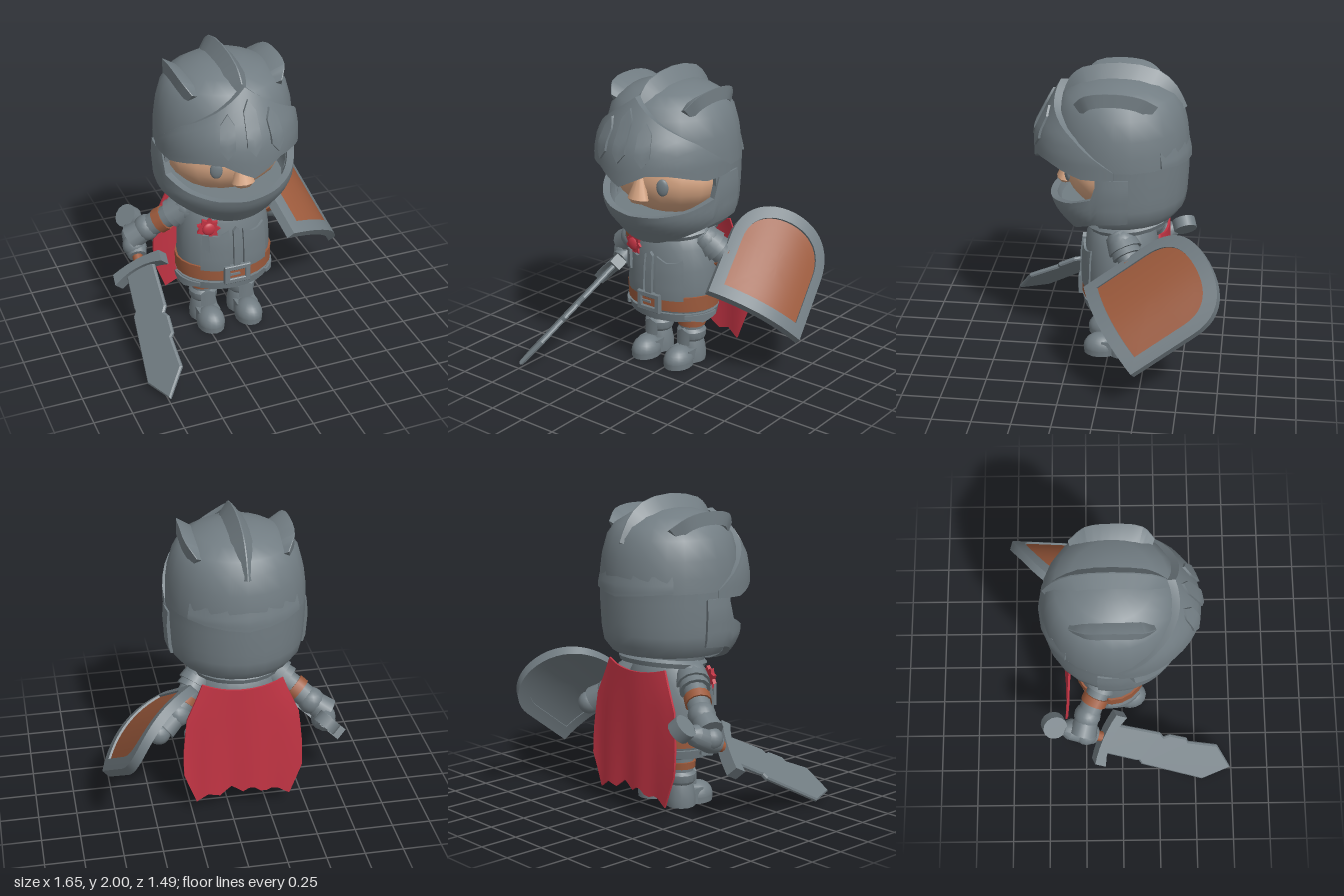
import * as THREE from 'three';
import { toCreasedNormals } from 'three/addons/utils/BufferGeometryUtils.js';

const paint = (name, color) => Object.assign(new THREE.MeshStandardMaterial({ color }), { name });
const V = (x, y, z) => new THREE.Vector3(x, y, z);

export function createModel() {
  const metal = paint('steel', 0x727d83), leather = paint('leather', 0x9c5a3c);
  const skin = paint('skin', 0xd6a583), red = paint('red cloth', 0xc33444);
  const root = new THREE.Group();
  const body = new THREE.Group();
  body.name = 'body';
  body.position.x = -0.085;
  root.add(body);

  const add = (parent, name, geo, mat, x = 0, y = 0, z = 0) => {
    const m = new THREE.Mesh(geo, mat);
    m.name = name;
    m.position.set(x, y, z);
    parent.add(m);
    return m;
  };
  // piecewise linear function through [key, value] pairs
  const table = pts => k => {
    if (k <= pts[0][0]) return pts[0][1];
    for (let i = 1; i < pts.length; i++) {
      const [k0, v0] = pts[i - 1], [k1, v1] = pts[i];
      if (k <= k1) return v0 + (v1 - v0) * (k - k0) / (k1 - k0);
    }
    return pts[pts.length - 1][1];
  };
  // box whose unit coordinates (0..1) are mapped by a rule
  const mapped = (sx, sy, sz, fn, crease = 0.6) => {
    const g = new THREE.BoxGeometry(1, 1, 1, sx, sy, sz), p = g.attributes.position;
    for (let i = 0; i < p.count; i++) p.setXYZ(i, ...fn(p.getX(i) + 0.5, p.getY(i) + 0.5, p.getZ(i) + 0.5));
    return toCreasedNormals(g, crease);
  };
  // curved plate wrapped round an upright axis; angles in degrees from the front
  const plate = (a0, a1, bot, top, rad, { rx = 1, rz = 1, z0 = 0, thick = 0.03, out = 0, sa = 20, sy = 6 } = {}) =>
    mapped(sa, sy, 1, (u, v, w) => {
      const a = a0 + (a1 - a0) * u, y = bot(a) + (top(a) - bot(a)) * v, t = out + (w - 1) * thick;
      const r = a * Math.PI / 180, s = rad(y);
      return [(rx * s + t) * Math.sin(r), y, z0 + (rz * s + t) * Math.cos(r)];
    });
  const lathe = (pts, seg = 20) =>
    toCreasedNormals(new THREE.LatheGeometry(pts.map(p => new THREE.Vector2(...p)), seg), 0.65);
  const tube = (parent, name, a, b, ra, rb, mat) => {
    const d = b.clone().sub(a);
    const m = add(parent, name, new THREE.CylinderGeometry(rb, ra, d.length(), 12), mat);
    m.position.copy(a).addScaledVector(d, 0.5);
    m.quaternion.setFromUnitVectors(V(0, 1, 0), d.normalize());
  };
  const ball = (parent, name, p, r, mat, sx = 1, sy = 1, sz = 1) => {
    const m = add(parent, name, new THREE.SphereGeometry(r, 16, 12), mat, p.x, p.y, p.z);
    m.scale.set(sx, sy, sz);
    return m;
  };
  const outline = pts => new THREE.Shape(pts.map(p => new THREE.Vector2(...p)));
  const slab = (shape, depth, bevel = 0) => new THREE.ExtrudeGeometry(shape, {
    depth, bevelEnabled: bevel > 0, bevelSize: bevel, bevelThickness: bevel, bevelSegments: 1 });

  // helmet
  add(body, 'helmetDome', lathe([[0, 1.43], [0.445, 1.43], [0.442, 1.52], [0.428, 1.63], [0.395, 1.75],
    [0.345, 1.82], [0.255, 1.875], [0.14, 1.91], [0, 1.925]], 24), metal, 0, 0, -0.06);
  add(body, 'helmetBack', plate(75, 285, () => 1.02, () => 1.432,
    table([[1.02, 0.37], [1.06, 0.415], [1.13, 0.432], [1.3, 0.442], [1.432, 0.445]]), { z0: -0.06, sa: 14 }), metal);
  add(body, 'helmetBackRim', plate(130, 230, a => 1.4 + 0.04 * Math.abs(a - 180) / 50, () => 1.54,
    table([[1.4, 0.458], [1.46, 0.456], [1.54, 0.438]]), { z0: -0.06, sa: 6 }), metal);
  add(body, 'helmetFloor', new THREE.CylinderGeometry(0.38, 0.37, 0.04, 24), metal, 0, 1.08, -0.06);
  const jawTop = table([[0, 1.125], [26, 1.14], [51, 1.18], [72, 1.245], [78, 1.39], [102, 1.39]]);
  const jawLow = table([[0, 0.91], [20, 0.92], [45, 0.97], [75, 1.07], [102, 1.09]]);
  add(body, 'jawGuard', plate(-102, 102, a => jawLow(Math.abs(a)), a => jawTop(Math.abs(a)),
    table([[0.91, 0.31], [1.05, 0.42], [1.12, 0.45], [1.3, 0.462], [1.4, 0.452]]), { z0: -0.06, sa: 34, thick: 0.045 }), metal);
  const visorTop = table([[0, 1.88], [31, 1.75], [64, 1.62], [95, 1.44]]);
  const visorLow = table([[0, 1.345], [24, 1.44], [42, 1.44], [71, 1.38], [95, 1.39]]);
  const visorRad = table([[1.5, 1], [1.6, 0.96], [1.76, 0.8], [1.88, 0.66]]);
  const visorFit = { rx: 0.452, rz: 0.51, z0: -0.02 };
  add(body, 'visor', plate(-95, 95, a => visorLow(Math.abs(a)), a => visorTop(Math.abs(a)), visorRad,
    { ...visorFit, sa: 24, thick: 0.05 }), metal);
  for (const [c, lo, hi] of [[0, 1.5, 1.82], [-21, 1.49, 1.75], [21, 1.49, 1.75]]) {
    const end = a => 0.06 * Math.abs(a - c) / 6;
    add(body, 'visorSlit', plate(c - 6, c + 6, a => lo + end(a), a => hi - end(a), visorRad,
      { ...visorFit, out: 0.015, thick: 0.03, sa: 2 }), metal);
  }
  // crests: wedges along a ridge line, sunk towards the middle of the head
  const crest = (name, pts, width, k) => {
    const curve = new THREE.CatmullRomCurve3(pts.map(p => V(...p))), mid = V(0, 1.5, -0.06);
    add(body, name, mapped(1, 1, 12, (u, v, t) => {
      const p = curve.getPoint(1 - t).lerp(mid, (1 - v) * k);
      return [p.x + (u - 0.5) * width * (1.04 - v), p.y, p.z];
    }), metal);
  };
  crest('centreCrest', [[0, 1.81, 0.31], [0, 1.9, 0.255], [0, 1.96, 0.18], [0, 2, -0.06], [0, 1.96, -0.3],
    [0, 1.86, -0.415], [0, 1.73, -0.48]], 0.2, 0.25);
  for (const s of [-1, 1])
    crest('sideCrest', [[s * 0.29, 1.82, 0.2], [s * 0.335, 1.89, 0.13], [s * 0.345, 1.915, -0.06],
      [s * 0.335, 1.89, -0.22], [s * 0.28, 1.82, -0.32]], 0.15, 0.2);

  // face
  ball(body, 'face', V(0, 1.32, -0.02), 1, skin, 0.385, 0.265, 0.31);
  const nose = add(body, 'nose', lathe([[0, -0.1], [0.045, -0.095], [0.075, -0.07], [0.025, 0.09], [0, 0.1]], 10), skin, 0, 1.28, 0.285);
  nose.scale.z = 0.75;
  nose.rotation.x = -0.18;
  for (const s of [-1, 1]) {
    const eye = ball(body, 'eye', V(s * 0.165, 1.31, 0.26), 1, metal, 0.04, 0.056, 0.018);
    eye.rotation.y = s * 0.35;
    const brow = add(body, 'brow', new THREE.BoxGeometry(0.16, 0.018, 0.03), skin, s * 0.185, 1.39, 0.235);
    brow.rotation.set(0, s * 0.4, s * 0.06);
  }

  // neck and torso
  const collar = add(body, 'collar', lathe([[0.2, -0.05], [0.27, -0.05], [0.285, -0.02], [0.265, 0], [0.275, 0.04], [0.2, 0.04]]),
    metal, 0, 0.975, -0.115);
  collar.rotation.x = 0.13;
  const fit = { rz: 0.8, z0: -0.07 };
  const trunk = [[0, 0.33], [0.24, 0.33], [0.28, 0.37], [0.305, 0.42], [0.315, 0.55], [0.308, 0.7], [0.285, 0.84], [0.24, 0.93], [0.15, 1.0], [0, 1.02]];
  add(body, 'torso', lathe(trunk, 24), metal, 0, 0, -0.07).scale.z = 0.8;
  const trunkRad = table(trunk.slice(1, 9).map(([r, y]) => [y, r]));
  const ring = (name, lo, hi, rl, rh, mat) => add(body, name,
    lathe([[0.2, lo], [rl, lo], [rh, hi], [0.2, hi]], 24), mat, 0, 0, -0.07).scale.z = 0.8;
  ring('belt', 0.425, 0.525, 0.325, 0.327, leather);
  ring('skirt', 0.35, 0.405, 0.31, 0.322, metal);
  for (const s of [-1, 1]) {
    const panelTop = table([[9, 0.79], [22, 0.755], [34, 0.76], [44, 0.78]]);
    const a0 = s < 0 ? -44 : 9, a1 = s < 0 ? -9 : 44;
    add(body, 'breastPanel', plate(a0, a1, () => 0.5, a => panelTop(Math.abs(a)), trunkRad, { ...fit, out: 0.014, sa: 8 }), metal);
    const tab = a => 0.345 + 0.03 * Math.abs(Math.abs(a) - 70) / 25;
    add(body, 'skirtTab', plate(s * 70 - 25, s * 70 + 25, tab, () => 0.4, () => 0.322, { ...fit, out: 0.012, sa: 6, sy: 1 }), metal);
  }
  add(body, 'breastRidge', plate(-4, 4, () => 0.5, a => 0.815 - Math.abs(a) * 0.006, trunkRad, { ...fit, out: 0.024, sa: 2 }), metal);

  // buckle
  const frame = outline([[-0.085, -0.06], [0.085, -0.06], [0.085, 0.06], [-0.085, 0.06]]);
  frame.holes.push(outline([[-0.058, -0.036], [-0.058, 0.036], [0.058, 0.036], [0.058, -0.036]]));
  add(body, 'buckle', slab(frame, 0.025, 0.005), metal, 0, 0.472, 0.18);
  add(body, 'bucklePlate', new THREE.BoxGeometry(0.12, 0.08, 0.02), leather, 0, 0.472, 0.185);
  add(body, 'bucklePin', new THREE.BoxGeometry(0.075, 0.014, 0.02), metal, -0.02, 0.472, 0.195);

  // rosette with a short ribbon
  const star = Array.from({ length: 18 }, (_, i) => {
    const a = i * Math.PI / 9, r = i % 2 ? 0.056 : 0.078;
    return [r * Math.cos(a), r * Math.sin(a)];
  });
  add(body, 'rosette', slab(outline(star), 0.025), red, -0.17, 0.815, 0.115).rotation.y = -0.25;
  ball(body, 'rosetteButton', V(-0.172, 0.815, 0.138), 0.045, red, 1, 1, 0.45);
  const ribbon = add(body, 'ribbon', slab(outline([[-0.02, 0.08], [0.02, 0.08], [0.03, -0.05], [0, -0.025], [-0.025, -0.06]]), 0.02),
    metal, -0.195, 0.7, 0.135);
  ribbon.rotation.y = -0.5;

  // cape
  const hem = table([[-1, 0.3], [-0.8, 0.085], [-0.55, 0.14], [-0.35, 0.11], [-0.15, 0.17], [0, 0.13], [0.2, 0.18],
    [0.4, 0.12], [0.6, 0.14], [0.8, 0.085], [1, 0.3]]);
  const capeWidth = table([[0.08, 0.385], [0.45, 0.39], [0.7, 0.365], [0.94, 0.26]]);
  add(body, 'cape', mapped(20, 8, 1, (u, v, w) => {
    const c = u * 2 - 1, y = hem(c) + (0.95 - 0.04 * (1 - c * c) - hem(c)) * v;
    const z = -0.385 + 0.04 * c * c * v + 0.006 * Math.sin(c * 9) * (1 - v);
    return [c * capeWidth(y), y, z + w * 0.014];
  }), red);

  // legs and boots
  for (const s of [-1, 1]) {
    const leg = new THREE.Group();
    leg.name = s < 0 ? 'rightLeg' : 'leftLeg';
    leg.position.set(s * 0.136, 0, -0.088);
    body.add(leg);
    add(leg, 'thigh', new THREE.CylinderGeometry(0.085, 0.08, 0.2, 14), metal, 0, 0.3, 0);
    add(leg, 'legStrap', new THREE.CylinderGeometry(0.098, 0.094, 0.045, 14), leather, 0, 0.28, 0);
    add(leg, 'greave', lathe([[0, 0], [0.095, 0], [0.098, 0.06], [0.085, 0.13], [0.08, 0.15], [0.095, 0.17], [0.098, 0.215], [0.082, 0.235], [0, 0.235]], 14), metal);
    add(leg, 'shinPlate', plate(-28, 28, () => 0.13, a => 0.245 - Math.abs(a) * 0.001, () => 0.095, { out: 0.012, sa: 4, sy: 1 }), metal);
    add(leg, 'toeCap', new THREE.SphereGeometry(1, 16, 8, 0, Math.PI * 2, 0, Math.PI / 2), metal, 0, 0.04, 0.143).scale.set(0.092, 0.095, 0.115);
    add(leg, 'sole', new THREE.CylinderGeometry(1, 0.97, 0.04, 16), metal, 0, 0.02, 0.143).scale.set(0.092, 1, 0.115);
    add(leg, 'instep', new THREE.BoxGeometry(0.15, 0.1, 0.14), metal, 0, 0.055, 0.06);
  }

  // arms: shoulder, elbow, wrist, hand
  const arm = (name, S, E, W, H) => {
    const g = new THREE.Group();
    g.name = name;
    root.add(g);
    const at = t => S.clone().lerp(E, t);
    ball(g, 'shoulder', S, 0.1, metal);
    tube(g, 'pauldron', at(-0.2), at(0.2), 0.09, 0.11, metal);
    tube(g, 'pauldronRim', at(0.15), at(0.35), 0.09, 0.1, metal);
    tube(g, 'upperArm', S, E, 0.075, 0.075, metal);
    tube(g, 'armStrap', at(0.52), at(0.7), 0.086, 0.086, leather);
    ball(g, 'elbow', E, 0.088, metal);
    tube(g, 'forearm', E, W, 0.075, 0.09, metal);
    ball(g, 'hand', H, 0.075, metal);
  };
  arm('rightArm', V(-0.33, 0.87, -0.1), V(-0.56, 0.685, -0.23), V(-0.66, 0.61, -0.26), V(-0.65, 0.56, -0.24));
  arm('leftArm', V(0.16, 0.87, -0.1), V(0.32, 0.68, -0.22), V(0.42, 0.61, -0.27), V(0.45, 0.59, -0.29));

  // place a group by its x and y axes
  const oriented = (name, X, Y, pos) => {
    const g = new THREE.Group(), x = X.normalize(), z = x.clone().cross(Y).normalize();
    g.name = name;
    g.quaternion.setFromRotationMatrix(new THREE.Matrix4().makeBasis(x, z.clone().cross(x), z));
    g.position.copy(pos);
    root.add(g);
    return g;
  };

  // sword: y runs to the tip
  const sword = oriented('sword', V(0.28, 0.225, 0.148), V(-0.09, -0.44, 0.85), V(-0.652, 0.475, -0.115));
  add(sword, 'blade', slab(outline([[-0.1, 0], [0.1, 0], [0.115, 0.36], [0.09, 0.4], [0.118, 0.44], [0.122, 0.56], [0.1, 0.58],
    [0.125, 0.8], [0, 0.955], [-0.125, 0.8], [-0.118, 0.33], [-0.095, 0.3], [-0.1, 0.27]]), 0.012, 0.01), metal, 0, 0, -0.006);
  add(sword, 'guard', mapped(6, 1, 1, (u, v, w) => {
    const c = u * 2 - 1;
    return [c * 0.19, (v - 0.5) * (0.06 + 0.02 * c * c) + 0.03 * c * c, (w - 0.5) * 0.085];
  }), metal);
  add(sword, 'grip', new THREE.CylinderGeometry(0.035, 0.035, 0.34, 10), leather, 0, -0.17, 0);
  add(sword, 'fist', lathe([[0, -0.31], [0.045, -0.31], [0.07, -0.27], [0.075, -0.13], [0.06, -0.075], [0, -0.07]], 12), metal);
  add(sword, 'pommel', new THREE.CylinderGeometry(0.08, 0.08, 0.075, 14), metal, 0, -0.38, 0).rotation.x = Math.PI / 2;

  // shield: bowed across its width, built as rings between two scales of one outline
  const shield = oriented('shield', V(0.47, -0.34, -0.35), V(-0.13, 0.485, -0.77), V(0.565, 0.45, -0.055));
  const edge = new THREE.Shape().moveTo(-0.34, 0).quadraticCurveTo(0, -0.03, 0.34, 0).lineTo(0.34, 0.47)
    .bezierCurveTo(0.34, 0.69, 0.2, 0.78, 0, 0.78).bezierCurveTo(-0.2, 0.78, -0.34, 0.69, -0.34, 0.47).getPoints(12);
  const n = edge.length;
  const shieldPart = (r0, r1, z0, z1) => mapped(n, 5, 1, (u, v, w) => {
    const p = edge[(n - Math.round(u * n)) % n], r = r0 + (r1 - r0) * v;
    const x = p.x * r, y = 0.38 + (p.y - 0.38) * r;
    return [x, y, 0.085 * (1 - (x / 0.34) ** 2) + z0 + (z1 - z0) * w];
  });
  add(shield, 'shieldBack', shieldPart(0, 0.98, -0.03, 0.002), metal);
  add(shield, 'shieldFace', shieldPart(0, 0.8, 0, 0.009), leather);
  add(shield, 'shieldRim', shieldPart(0.79, 1, -0.035, 0.024), metal);
  return root;
}
